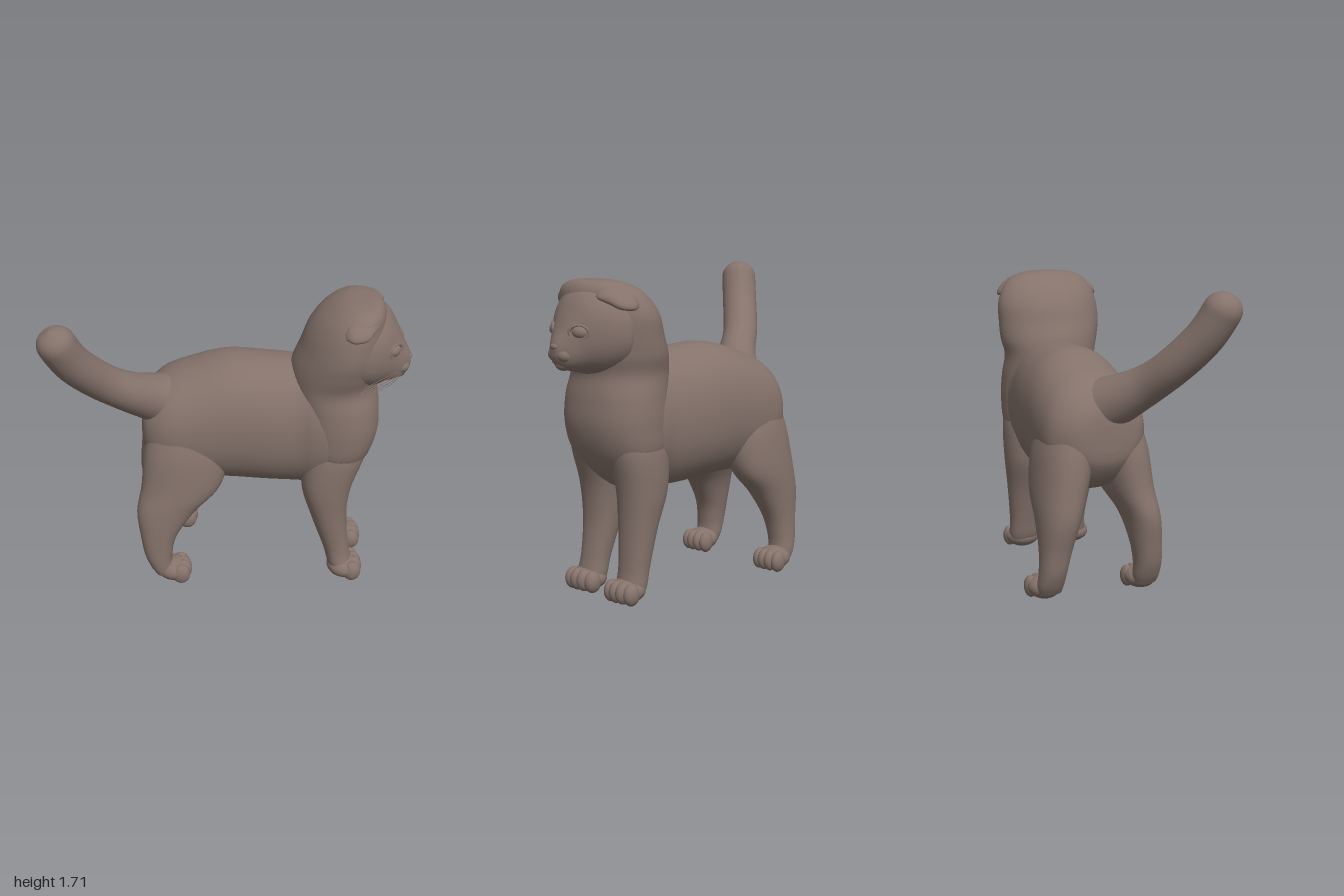
import * as THREE from 'three';

const fur = new THREE.MeshStandardMaterial({ color: 0x85736b });
fur.name = 'brown fur';

function add(parent, name, geometry) {
  const mesh = new THREE.Mesh(geometry, fur);
  mesh.name = name;
  parent.add(mesh);
  return mesh;
}

// Smooth curve through the values p1 and p2
function spline(p0, p1, p2, p3, t) {
  const a = (p2 - p0) / 2, b = (p3 - p1) / 2, d = p1 - p2;
  return ((2 * d + a + b) * t + (-3 * d - 2 * a - b)) * t * t + a * t + p1;
}

// Skin over oval sections [position, centreA, centreB, radiusA, radiusB, squareness].
// Along x, A is y and B is z; along y, A is x and B is z. Positions ascend.
// Ends sunk into another part are left open.
function loft(axis, sections, closeStart, closeEnd) {
  const sides = 40, steps = 6, rings = [];
  const last = sections.length - 1;
  const at = i => sections[Math.min(Math.max(i, 0), last)];
  const cap = s => [s[0], s[1], s[2], 0, 0];
  if (closeStart) rings.push(cap(at(0)));
  for (let i = 0; i < last; i++)
    for (let k = 0; k < steps; k++)
      rings.push(at(i).map((v, c) => spline(at(i - 1)[c], v, at(i + 1)[c], at(i + 2)[c], k / steps)));
  rings.push(at(last));
  if (closeEnd) rings.push(cap(at(last)));

  const pos = [], index = [];
  rings.forEach(([t, a, b, ra, rb, power = 2.2], i) => {
    const round = v => Math.sign(v) * Math.abs(v) ** (2 / power);
    for (let j = 0; j < sides; j++) {
      const angle = j / sides * Math.PI * 2;
      const c = round(Math.cos(angle)), s = round(Math.sin(angle));
      if (axis === 'x') pos.push(t, a + Math.max(ra, 0) * s, b + Math.max(rb, 0) * c);
      else pos.push(a + Math.max(ra, 0) * c, t, b + Math.max(rb, 0) * s);
      if (i === rings.length - 1) continue;
      const n = (j + 1) % sides, p = i * sides, q = p + sides;
      index.push(p + j, q + j, p + n, q + j, q + n, p + n);
    }
  });
  const g = new THREE.BufferGeometry();
  g.setAttribute('position', new THREE.Float32BufferAttribute(pos, 3));
  g.setIndex(index);
  g.computeVertexNormals();
  return g;
}

function ball(parent, name, x, y, z, rx, ry, rz) {
  const mesh = add(parent, name, new THREE.SphereGeometry(1, 28, 20));
  mesh.position.set(x, y, z);
  mesh.scale.set(rx, ry, rz);
  return mesh;
}

const curve = points => new THREE.CatmullRomCurve3(points.map(p => new THREE.Vector3(...p)));

function strand(parent, name, points, radius) {
  return add(parent, name, new THREE.TubeGeometry(curve(points), 14, radius, 6));
}

// Leg column with a paw and four softly parted toes
function leg(parent, name, sections, px, pz, rx, rz) {
  const group = new THREE.Group();
  group.name = name;
  parent.add(group);
  add(group, name + 'Limb', loft('y', sections, false, false));
  ball(group, name + 'Paw', px - 0.005, 0.068, pz, rx - 0.005, 0.066, rz - 0.004);
  for (let i = 0; i < 4; i++) {
    const k = (i - 1.5) / 1.5;
    ball(group, name + 'Toe', px + rx * (0.5 - 0.13 * k * k), 0.066 - 0.004 * k * k,
      pz + k * rz * 0.64, rx * 0.52, 0.061, rz * 0.36);
  }
}

function tailGeometry() {
  const path = curve([[-0.36, 1.07, -0.02], [-0.43, 1.11, 0.025], [-0.55, 1.19, 0.11],
    [-0.69, 1.3, 0.19], [-0.83, 1.47, 0.3], [-0.9, 1.61, 0.36], [-0.935, 1.695, 0.385]]);
  const rows = 70, sides = 28;
  const g = new THREE.TubeGeometry(path, rows, 1, sides);
  const p = g.attributes.position, v = new THREE.Vector3();
  // Taper from the rump, then round off the tip
  for (let i = 0; i <= rows; i++) {
    const t = i / rows, centre = path.getPointAt(t);
    const end = Math.max(0, (t - 0.9) / 0.1);
    const r = (0.103 + 0.05 * Math.max(0, 1 - t / 0.45) ** 2) * Math.sqrt(1 - end * end);
    for (let j = 0; j <= sides; j++) {
      const n = i * (sides + 1) + j;
      v.fromBufferAttribute(p, n).sub(centre).multiplyScalar(r).add(centre);
      p.setXYZ(n, v.x, v.y, v.z);
    }
  }
  g.computeVertexNormals();
  return g;
}

export function createModel() {
  const cat = new THREE.Group();
  cat.name = 'cat';

  // Barrel of the body, rump to breast
  add(cat, 'torso', loft('x', [
    [-0.487, 0.9, -0.06, 0.07, 0.07], [-0.465, 0.91, -0.07, 0.17, 0.19],
    [-0.36, 0.91, -0.08, 0.29, 0.28], [-0.2, 0.925, -0.075, 0.345, 0.3],
    [0, 0.953, -0.055, 0.375, 0.298], [0.2, 0.948, -0.03, 0.378, 0.295],
    [0.36, 0.943, -0.005, 0.375, 0.283], [0.46, 0.947, 0.025, 0.365, 0.285],
    [0.56, 0.95, 0.04, 0.325, 0.28], [0.65, 0.96, 0.04, 0.25, 0.22],
  ], true, false));

  // Chest, neck and skull
  add(cat, 'chestAndSkull', loft('y', [
    [0.61, 0.59, 0.03, 0.05, 0.06, 2.2], [0.68, 0.59, 0.035, 0.125, 0.17, 2.2],
    [0.8, 0.6, 0.04, 0.19, 0.27, 2.3], [0.95, 0.607, 0.045, 0.226, 0.29, 2.3],
    [1.1, 0.597, 0.045, 0.233, 0.287, 2.2], [1.22, 0.577, 0.042, 0.24, 0.275, 2],
    [1.32, 0.595, 0.045, 0.25, 0.3, 1.85], [1.42, 0.62, 0.055, 0.236, 0.313, 1.85],
    [1.52, 0.64, 0.055, 0.218, 0.31, 1.85], [1.6, 0.662, 0.062, 0.186, 0.285, 1.9],
    [1.66, 0.69, 0.07, 0.145, 0.24, 2], [1.695, 0.71, 0.075, 0.1, 0.17, 2],
    [1.707, 0.72, 0.075, 0.05, 0.09, 2],
  ], true, true));

  // Face, turned a little toward +z
  const face = new THREE.Group();
  face.name = 'face';
  face.position.set(0.62, 0, 0.055);
  face.rotation.y = -0.2;
  cat.add(face);
  add(face, 'faceMask', loft('x', [
    [0.04, 1.45, 0, 0.22, 0.265], [0.09, 1.455, 0, 0.236, 0.285],
    [0.17, 1.45, 0, 0.23, 0.25], [0.24, 1.435, 0, 0.195, 0.19],
    [0.29, 1.4, 0, 0.15, 0.128], [0.33, 1.365, 0, 0.1, 0.085],
    [0.36, 1.355, 0, 0.055, 0.045], [0.37, 1.355, 0, 0.025, 0.02],
  ], false, true));
  ball(face, 'chin', 0.305, 1.285, 0, 0.045, 0.035, 0.05);
  const bridge = ball(face, 'noseBridge', 0.312, 1.43, 0, 0.03, 0.1, 0.036);
  bridge.rotation.z = 0.45;
  ball(face, 'nose', 0.356, 1.378, 0, 0.021, 0.019, 0.034);

  for (const side of [-1, 1]) {
    ball(face, 'whiskerPad', 0.322, 1.335, side * 0.037, 0.044, 0.04, 0.048);
    const eye = ball(face, 'eye', 0.276, 1.455, side * 0.11, 0.034, 0.035, 0.046);
    eye.rotation.y = -side * 0.6;
    const lid = add(face, 'eyelid', new THREE.TorusGeometry(0.046, 0.008, 8, 32));
    lid.position.set(0.288, 1.455, side * 0.116);
    lid.scale.set(1.15, 0.78, 1);
    lid.rotation.y = Math.PI / 2 - side * 0.6;
    strand(face, 'mouthLine', [[0.363, 1.335, 0], [0.357, 1.31, side * 0.018],
      [0.335, 1.298, side * 0.05], [0.3, 1.3, side * 0.09]], 0.005);

    // Folded ear flap lying along the brow, tip hanging outward
    const ear = add(face, 'ear', loft('x', [
      [-0.1, -0.012, side * 0.03, 0.008, 0.015], [-0.07, 0, side * 0.028, 0.022, 0.05],
      [0, 0.008, side * 0.01, 0.028, 0.072], [0.06, 0.004, -side * 0.01, 0.024, 0.05],
      [0.1, -0.008, -side * 0.02, 0.014, 0.025], [0.112, -0.014, -side * 0.02, 0.005, 0.008],
    ], true, true));
    ear.position.set(0.11, 1.625, side * 0.217);
    ear.rotation.set(side * 0.8, side * 0.35, -0.28);
  }

  // Whiskers sweeping back over one cheek
  for (let i = 0; i < 5; i++) {
    strand(face, 'whisker', [[0.33, 1.325 - i * 0.008, 0.06],
      [0.26, 1.33 - i * 0.015, 0.17], [0.14 - i * 0.01, 1.31 - i * 0.017, 0.285]], 0.002);
  }

  // Legs
  leg(cat, 'frontLeftLeg', [
    [0.06, 0.637, 0.21, 0.06, 0.082], [0.1, 0.635, 0.205, 0.07, 0.088],
    [0.2, 0.612, 0.197, 0.075, 0.085], [0.4, 0.565, 0.19, 0.1, 0.108],
    [0.6, 0.545, 0.185, 0.14, 0.132], [0.8, 0.585, 0.172, 0.17, 0.146],
    [0.92, 0.605, 0.15, 0.165, 0.14],
  ], 0.665, 0.215, 0.1, 0.112);
  leg(cat, 'frontRightLeg', [
    [0.06, 0.667, -0.105, 0.06, 0.082], [0.1, 0.66, -0.105, 0.07, 0.088],
    [0.2, 0.643, -0.108, 0.076, 0.088], [0.4, 0.615, -0.112, 0.1, 0.105],
    [0.6, 0.585, -0.115, 0.142, 0.127], [0.8, 0.595, -0.1, 0.17, 0.141],
    [0.92, 0.605, -0.07, 0.165, 0.14],
  ], 0.7, -0.1, 0.1, 0.107);

  // Hind legs share one profile, each with its own stance
  const hind = (shift, zs, rz) => [
    [0.05, -0.385, 0.05, 0.04], [0.1, -0.4, 0.065, 0.04], [0.18, -0.415, 0.08, 0.04],
    [0.3, -0.41, 0.105, 0.04], [0.45, -0.365, 0.165, 0.025], [0.6, -0.275, 0.225, 0],
    [0.8, -0.245, 0.235, 0], [0.94, -0.25, 0.195, 0],
  ].map(([y, x, rx, s], i) => [y, x + s * shift, zs[i], rx, rz[i]]);
  leg(cat, 'hindLeftLeg', hind(0,
    [0.2, 0.2, 0.2, 0.19, 0.17, 0.13, 0.095, 0.065],
    [0.065, 0.075, 0.078, 0.086, 0.1, 0.13, 0.145, 0.138]), -0.325, 0.2, 0.1, 0.097);
  leg(cat, 'hindRightLeg', hind(1,
    [-0.36, -0.36, -0.352, -0.335, -0.31, -0.28, -0.24, -0.21],
    [0.065, 0.073, 0.076, 0.087, 0.112, 0.137, 0.153, 0.145]), -0.275, -0.365, 0.105, 0.097);

  add(cat, 'tail', tailGeometry());
  return cat;
}
